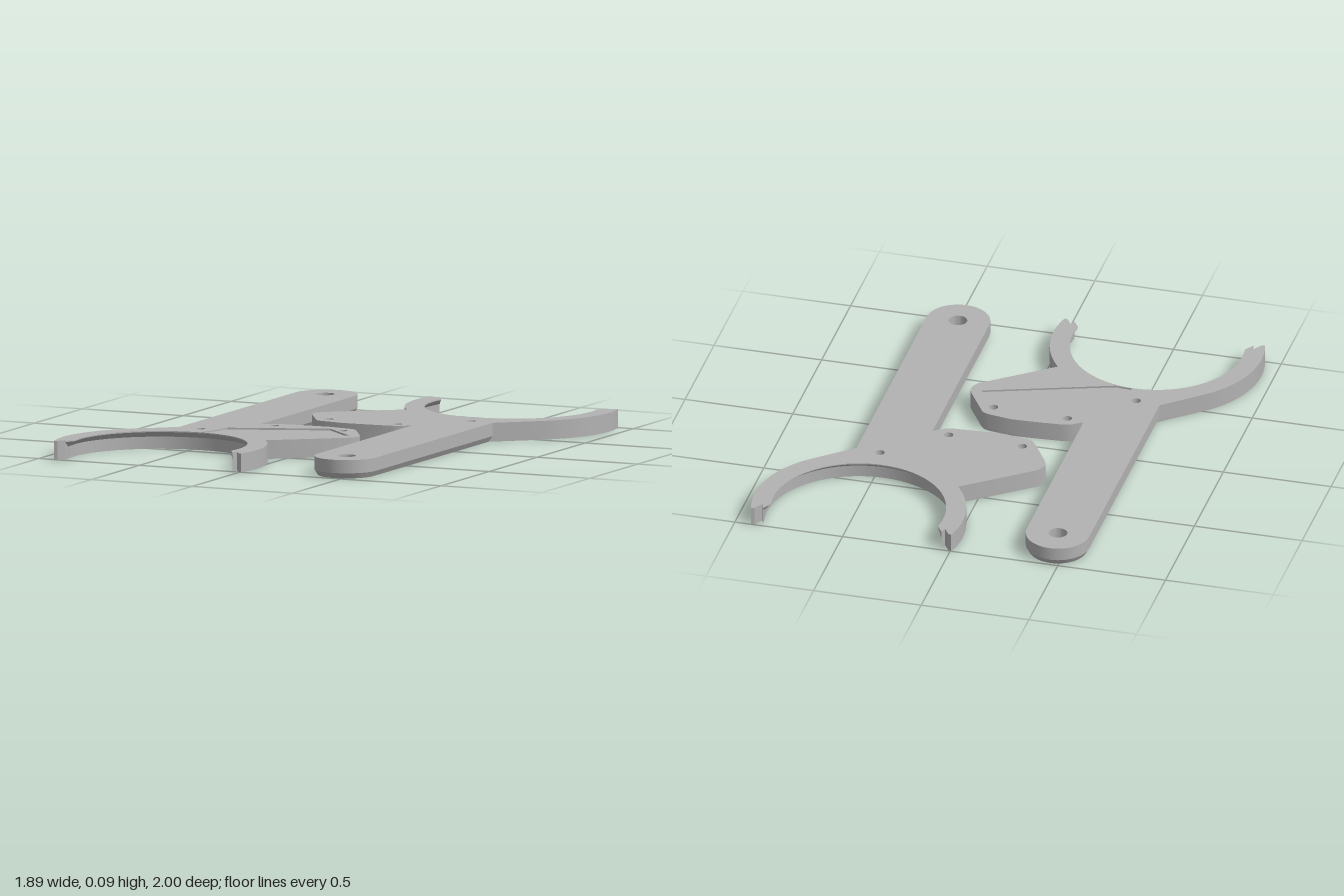
import * as THREE from 'three';
import { mergeGeometries, toCreasedNormals } from 'three/addons/utils/BufferGeometryUtils.js';

const H = 0.085;                  // plate thickness
const RING = [-0.46, 0.87];       // centre of the open ring (x, z)
const ARM = [-0.462, -0.855];     // centre of the rounded arm end
const ARM_R = 0.145, R_OUT = 0.483, R_LIP = 0.393, R_LOW = 0.425;

const arc = ([cx, cz], r, a0, a1, n) => Array.from({ length: n + 1 }, (_, i) => {
  const a = a0 + (a1 - a0) * i / n;
  return [cx + r * Math.cos(a), cz + r * Math.sin(a)];
});
const circle = (c, r, n) => arc(c, r, 0, Math.PI * 2, n).slice(0, n);
const vec = (pts, s = 1) => pts.map(([x, z]) => new THREE.Vector2(x, z * s));

// flat face at height y, looking up or down
function cap(pts, holes, y, up) {
  const s = up ? -1 : 1;
  const shape = new THREE.Shape(vec(pts, s));
  shape.holes = holes.map(h => new THREE.Path(vec(h, s)));
  const g = new THREE.ShapeGeometry(shape).rotateX(s * Math.PI / 2).translate(0, y, 0).toNonIndexed();
  g.deleteAttribute('uv');
  return g;
}

// band between two matching loops; inward = true for hole walls
function wall(a, ya, b, yb, inward = false) {
  const pos = [];
  const flip = (THREE.ShapeUtils.area(vec(a)) > 0) !== inward;
  a.forEach((p, i) => {
    const j = (i + 1) % a.length;
    const A = [p[0], ya, p[1]], B = [a[j][0], ya, a[j][1]];
    const C = [b[j][0], yb, b[j][1]], D = [b[i][0], yb, b[i][1]];
    const quad = flip ? [A, C, B, A, D, C] : [A, B, C, A, C, D];
    pos.push(...quad.flat());
  });
  const g = new THREE.BufferGeometry();
  g.setAttribute('position', new THREE.Float32BufferAttribute(pos, 3));
  g.computeVertexNormals();
  return g;
}

// jagged snap-fit ends of the ring, relative to its centre
const TIP = [[0.45, 0.125], [0.425, 0.085], [0.415, 0.115], [0.39, 0.075]];

function outline() {
  const at = ([dx, dz]) => [RING[0] + dx, RING[1] + dz];
  const P = Math.PI;
  return [
    ...arc(ARM, ARM_R, P, 2 * P, 24),
    // side panel
    [-0.317, 0.125], [-0.27, 0.092], [-0.225, 0.08], [-0.11, 0.072], [0, 0.067],
    [0.115, 0.085], [0.137, 0.094], [0.153, 0.112], [0.238, 0.25], [0.249, 0.275],
    [0.249, 0.305], [0.23, 0.34],
    // open ring
    ...arc(RING, R_OUT, -0.654, 0.273, 16),
    ...TIP.map(at),
    ...arc(RING, R_LIP, 0.153, -P - 0.153, 56),
    ...TIP.map(([x, z]) => at([-x, z])).reverse(),
    ...arc(RING, R_OUT, P - 0.273, P + 0.872, 20),
    [-0.607, 0.36],
  ];
}

// widen the ring bore below the lip
const widen = pts => pts.map(([x, z]) => {
  const dx = x - RING[0], dz = z - RING[1], d = Math.hypot(dx, dz);
  return d < R_LOW ? [RING[0] + dx * R_LOW / d, RING[1] + dz * R_LOW / d] : [x, z];
});

// draw in the arm for its lower chamfer
const chamfer = pts => pts.map(([x, z]) => {
  const dx = x - ARM[0], dz = z - ARM[1];
  if (Math.abs(dx) > ARM_R + 0.001 || z > 0.365) return [x, z];
  const k = 0.9;
  if (z > 0) return [ARM[0] + dx * k, z + (dx < 0 ? -0.012 : 0.012)];
  return [ARM[0] + dx * k, ARM[1] + dz * k];
});

function bracket(name, material, pocketSides, marked) {
  const full = outline(), low = widen(full), base = chamfer(low);
  const geos = [
    wall(base, 0, low, 0.025),
    wall(low, 0.025, low, 0.055),
    wall(low, 0.055, full, 0.08),
    wall(full, 0.08, full, H),
  ];
  const topHoles = [], bottomHoles = [];

  // pivot hole
  const pivot = circle([-0.463, -0.858], 0.042, 32);
  geos.push(wall(pivot, 0, pivot, H, true));
  topHoles.push(pivot);
  bottomHoles.push(pivot);

  // screw holes with a wider pocket underneath
  for (const c of [[-0.238, 0.14], [0.108, 0.152], [-0.495, 0.372]]) {
    const bore = circle(c, 0.021, 24), pocket = circle(c, 0.036, pocketSides);
    geos.push(wall(pocket, 0, pocket, 0.03, true), cap(pocket, [bore], 0.03, false),
      wall(bore, 0.03, bore, H, true));
    topHoles.push(bore);
    bottomHoles.push(pocket);
  }

  if (marked) {
    // shallow recess on top
    const recess = [[-0.4, 0.29], [0.03, 0.12], [0.2, 0.28], [-0.37, 0.478], [-0.45, 0.472]];
    const floor = H - 0.008;
    geos.push(wall(recess, floor, recess, H, true), cap(recess, [], floor, true));
    topHoles.push(recess);
    // direction arrow engraved underneath
    const arrow = [[-0.3, 0.275], [-0.16, 0.275], [-0.16, 0.245], [-0.08, 0.292],
      [-0.16, 0.339], [-0.16, 0.309], [-0.3, 0.309]];
    geos.push(wall(arrow, 0, arrow, 0.008, true), cap(arrow, [], 0.008, false));
    bottomHoles.push(arrow);
  }

  geos.push(cap(full, topHoles, H, true), cap(base, bottomHoles, 0, false));
  const mesh = new THREE.Mesh(toCreasedNormals(mergeGeometries(geos), 0.5), material);
  mesh.name = name;
  return mesh;
}

export function createModel() {
  const group = new THREE.Group();
  group.name = 'clampBrackets';
  const grey = new THREE.MeshStandardMaterial({ color: 0xb2b2b2 });
  grey.name = 'plain grey';

  const front = bracket('frontBracket', grey, 24, true);
  const back = bracket('backBracket', grey, 6, false);
  back.rotation.y = Math.PI;
  group.add(front, back);
  return group;
}
